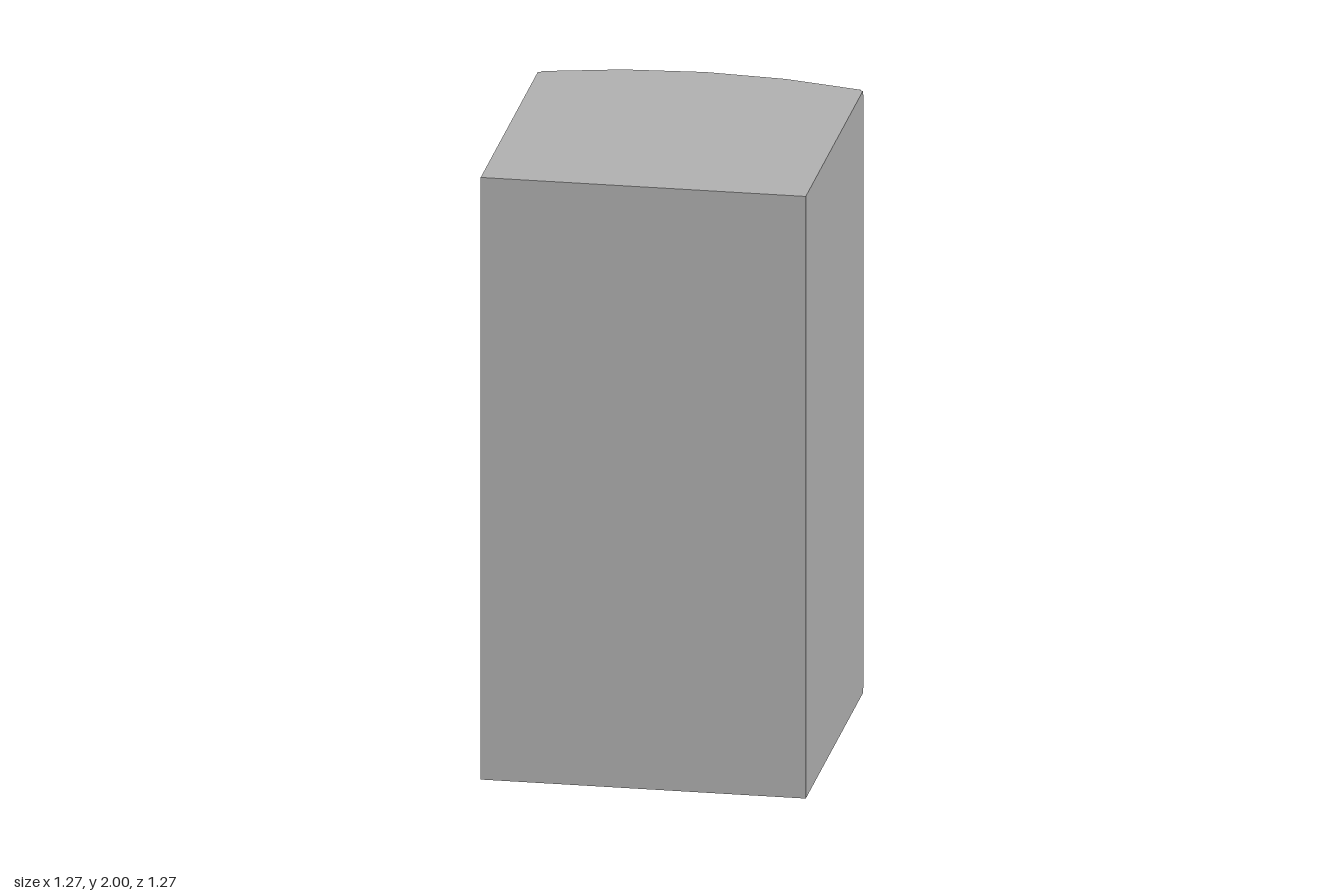
import * as THREE from 'three';

export function createModel() {
  const model = new THREE.Group();
  model.name = 'vendingMachine';
  // the cabinet is turned on the floor; its curved door is local +z
  model.rotation.y = THREE.MathUtils.degToRad(195);

  const grey = new THREE.MeshStandardMaterial({ color: 0xb2b2b2 });
  grey.name = 'cabinet grey';
  const light = new THREE.MeshStandardMaterial({ color: 0xc0c0c0 });
  light.name = 'tray light grey';

  const add = (name, geometry, material, x, y, z) => {
    const mesh = new THREE.Mesh(geometry, material);
    mesh.name = name;
    mesh.position.set(x, y, z);
    model.add(mesh);
    return mesh;
  };
  // box given by its x, y and z ranges
  const block = (name, x0, x1, y0, y1, z0, z1, material = grey) =>
    add(name, new THREE.BoxGeometry(x1 - x0, y1 - y0, z1 - z0), material,
      (x0 + x1) / 2, (y0 + y1) / 2, (z0 + z1) / 2);

  const H = 0.518, PANEL_X = 0.3, PANEL_Z = 0.495;
  const TRAY = { x0: -0.235, x1: 0.22, z: 0.405, y0: 0.405, y1: 0.62 };

  // plan outline of the cabinet with the faceted door and optional cut-outs
  const plan = ({ inset = 0, tray = false, panel = false }) => {
    const front = [[-0.508, 0.512 - inset], [-0.508, 0.521 - inset], [-0.259, 0.581 - inset]];
    if (tray) {
      front.push([TRAY.x0, 0.583], [TRAY.x0, TRAY.z], [TRAY.x1, TRAY.z], [TRAY.x1, 0.584]);
    } else {
      front.push([0, 0.602 - inset]);
    }
    front.push([0.259, 0.581 - inset]);
    if (panel) front.push([PANEL_X, 0.571], [PANEL_X, PANEL_Z], [H, PANEL_Z]);
    else front.push([0.508, 0.521 - inset], [0.508, 0.512 - inset], [H, 0.512 - inset]);
    return [[H, -H], [-H, -H], [-H, 0.512 - inset], ...front];
  };
  const band = (name, y0, y1, options) => {
    const shape = new THREE.Shape(plan(options).map(([x, z]) => new THREE.Vector2(x, -z)));
    const geometry = new THREE.ExtrudeGeometry(shape, { depth: y1 - y0, bevelEnabled: false });
    geometry.rotateX(-Math.PI / 2);
    add(name, geometry, grey, 0, y0, 0);
  };

  // cabinet, stacked from plan bands
  band('base', 0, 0.015, { inset: 0.006 });
  band('lowerCabinet', 0.015, TRAY.y0, {});
  band('trayCabinet', TRAY.y0, TRAY.y1, { tray: true, panel: true });
  band('middleCabinet', TRAY.y1, 1.58, { panel: true });
  band('upperCabinet', 1.58, 1.985, {});
  band('topCap', 1.985, 2, { inset: 0.006 });

  // lining of the collection tray
  const { x0, x1, y0, y1, z } = TRAY, t = 0.004;
  block('trayBack', x0, x1, y0, y1, z, z + t, light);
  block('trayFloor', x0, x1, y0, y0 + t, z, 0.58, light);
  block('trayCeiling', x0, x1, y1 - t, y1, z, 0.58, light);
  block('trayLeftWall', x1 - t, x1, y0, y1, z, 0.58, light);
  block('trayRightWall', x0, x0 + t, y0, y1, z, 0.58, light);

  // raised rim round a plate on the control panel
  const rim = (name, a, b, c, d) => {
    const w = 0.008, zt = PANEL_Z + 0.01;
    block(name, a, b, c, c + w, PANEL_Z, zt);
    block(name, a, b, d - w, d, PANEL_Z, zt);
    block(name, a, a + w, c + w, d - w, PANEL_Z, zt);
    block(name, b - w, b, c + w, d - w, PANEL_Z, zt);
  };

  // banknote slot at the top of the panel
  rim('noteSlotRim', 0.327, 0.495, 1.37, 1.49);
  block('noteSlot', 0.395, 0.475, 1.41, 1.44, PANEL_Z, PANEL_Z + 0.012);
  block('noteLamp', 0.342, 0.365, 1.39, 1.41, PANEL_Z, PANEL_Z + 0.008);

  // six selection plates, each with a round button
  for (let i = 0; i < 6; i++) {
    const y = 1.252 - i * 0.099;
    block('selectionPlate', 0.327, 0.44, y - 0.036, y + 0.036, PANEL_Z, PANEL_Z + 0.012);
    const knob = new THREE.CylinderGeometry(0.018, 0.018, 0.012, 16);
    knob.rotateX(Math.PI / 2);
    add('selectionButton', knob, grey, 0.474, y, PANEL_Z + 0.006);
  }

  // coin slot and coin return
  rim('coinRim', 0.327, 0.49, 0.535, 0.671);
  block('coinSlot', 0.335, 0.385, 0.61, 0.663, PANEL_Z, PANEL_Z + 0.012);
  block('coinReturn', 0.392, 0.482, 0.543, 0.663, PANEL_Z, PANEL_Z + 0.006);

  const root = new THREE.Group();
  root.name = 'model';
  root.add(model);
  return root;
}
